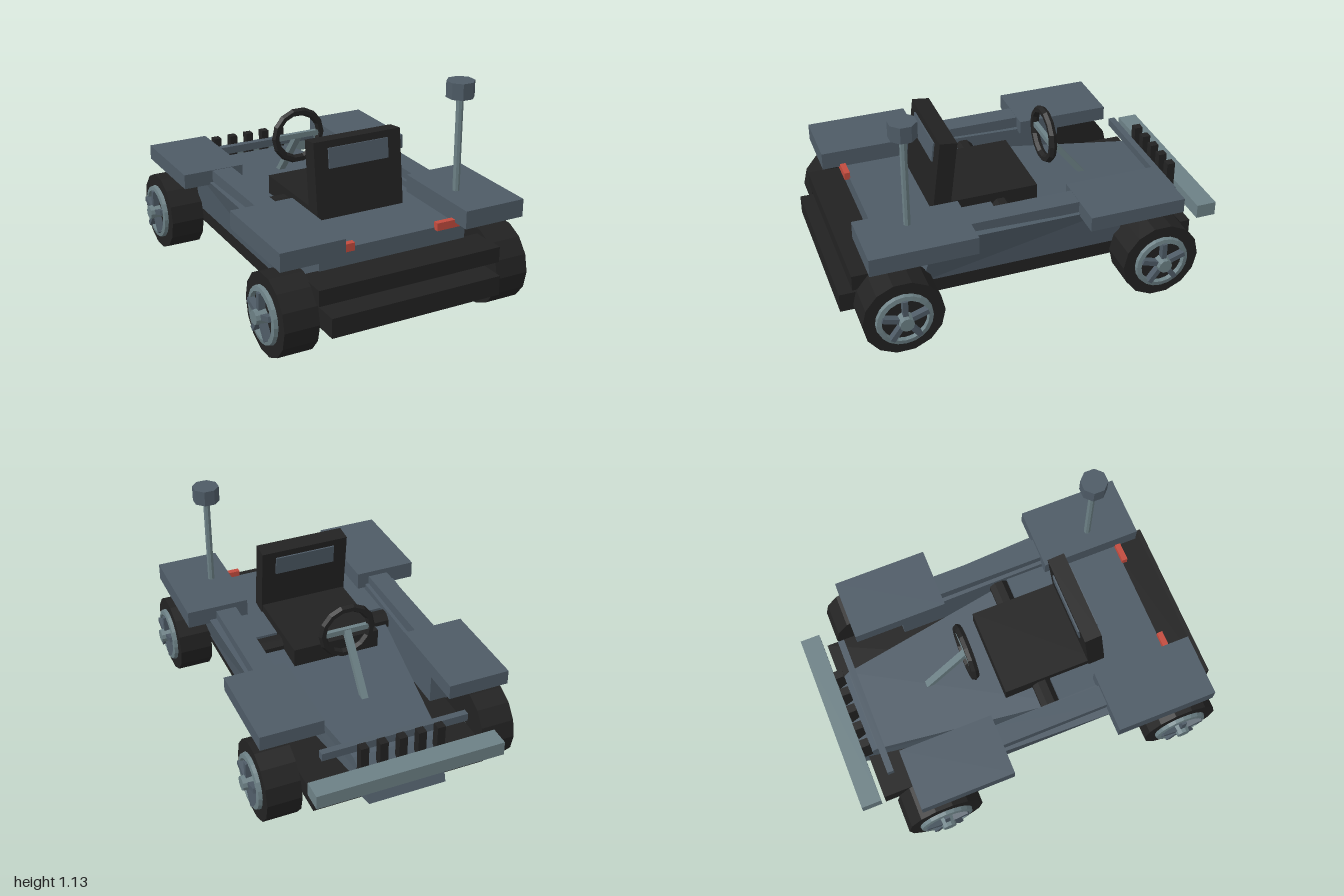
import * as THREE from 'three';

const mat = (name, color) => {
  const m = new THREE.MeshStandardMaterial({ color });
  m.name = name;
  return m;
};

export function createModel() {
  const model = new THREE.Group();
  model.name = 'buggy';
  const slate = mat('slate panels', 0x4e5b66);
  const steel = mat('pale steel', 0x6c8085);
  const black = mat('black rubber', 0x222222);
  const red = mat('red lamp', 0xc24b3e);

  const add = (name, geo, material, parent = model) => {
    const flat = geo.index ? geo.toNonIndexed() : geo;
    flat.computeVertexNormals();
    const mesh = new THREE.Mesh(flat, material);
    mesh.name = name;
    parent.add(mesh);
    return mesh;
  };
  // Box given by its limits on each axis
  const box = (name, material, [x0, x1], [y0, y1], [z0, z1], parent) => {
    const g = new THREE.BoxGeometry(x1 - x0, y1 - y0, z1 - z0);
    g.translate((x0 + x1) / 2, (y0 + y1) / 2, (z0 + z1) / 2);
    return add(name, g, material, parent);
  };
  // Side profile in (z, y), swept across x; xRule places each corner from t = -0.5..0.5
  const profile = (name, material, points, xRule) => {
    const shape = new THREE.Shape(points.map(([z, y]) => new THREE.Vector2(z, y)));
    const g = new THREE.ExtrudeGeometry(shape, { depth: 1, bevelEnabled: false });
    g.translate(0, 0, -0.5).rotateY(-Math.PI / 2);
    const p = g.attributes.position;
    for (let i = 0; i < p.count; i++) p.setX(i, xRule(p.getX(i), p.getY(i), p.getZ(i)));
    return add(name, g, material);
  };
  const mirrorBox = (name, material, [x0, x1], y, z) => {
    box(name + 'Left', material, [x0, x1], y, z);
    box(name + 'Right', material, [-x1, -x0], y, z);
  };

  // Chassis and bumpers
  box('chassis', black, [-0.455, 0.455], [0.16, 0.26], [-0.875, 1]);
  box('blackBumper', black, [-0.49, 0.49], [0.3, 0.38], [0.76, 0.94]);
  box('steelBumper', steel, [-0.49, 0.49], [0.29, 0.365], [-1, -0.895]);

  // Body: deck, tapered hood, flared sills and their rails
  box('deck', slate, [-0.4, 0.4], [0.255, 0.47], [0.15, 0.77]);
  profile('hood', slate,
    [[0.16, 0.25], [0.16, 0.435], [-0.82, 0.37], [-0.895, 0.3], [-0.955, 0.18], [-0.84, 0.18], [-0.8, 0.25]],
    (t, y, z) => 2 * t * (0.37 + 0.175 * Math.min(0, z)));
  for (const side of [1, -1]) {
    profile(side > 0 ? 'sillLeft' : 'sillRight', slate,
      [[0.59, 0.255], [0.54, 0.51], [-0.455, 0.48], [-0.455, 0.255]],
      (t, y, z) => {
        const outer = 0.48 + 0.06 * (y - 0.255) / 0.255 + 0.03 * (z - 0.35) * (y > 0.4 ? 1 : 0);
        return side * THREE.MathUtils.lerp(0.37, outer, side * t + 0.5);
      });
  }
  mirrorBox('rail', slate, [0.39, 0.5], [0.49, 0.55], [-0.23, 0.36]);
  mirrorBox('highFender', slate, [0.325, 0.655], [0.485, 0.577], [0.353, 0.887]);
  mirrorBox('lowFender', slate, [0.33, 0.655], [0.475, 0.552], [-0.72, -0.22]);
  mirrorBox('lamp', red, [0.225, 0.375], [0.46, 0.5], [0.765, 0.795]);
  box('lightBar', slate, [-0.385, 0.385], [0.395, 0.437], [-0.815, -0.78]);

  // Row of short posts on the nose
  for (let i = -2; i <= 2; i++)
    box('nosePost', black, [i * 0.1 - 0.021, i * 0.1 + 0.021], [0.29, 0.47], [-0.893, -0.848]);

  // Seat
  const crossbar = new THREE.CylinderGeometry(0.053, 0.053, 0.74, 8);
  crossbar.rotateY(Math.PI / 8).rotateZ(Math.PI / 2).translate(0, 0.43, 0.1);
  add('seatCrossbar', crossbar, black);
  box('seatCushion', black, [-0.235, 0.235], [0.41, 0.517], [-0.1, 0.4]);
  const back = new THREE.Group();
  back.name = 'seatBack';
  back.position.set(0, 0.67, 0.388);
  back.rotation.x = -0.12;
  model.add(back);
  box('backrest', black, [-0.24, 0.24], [-0.2, 0.188], [-0.045, 0.045], back);
  for (const s of [1, -1])
    box('headPanel', slate, [-0.165, 0.165], [0.05, 0.152], [s * 0.049 - 0.004, s * 0.049 + 0.004], back);

  // Steering wheel and column
  const steering = new THREE.Group();
  steering.name = 'steering';
  steering.position.set(0, 0.66, -0.225);
  model.add(steering);
  add('steeringRing', new THREE.TorusGeometry(0.132, 0.022, 6, 14), black, steering);
  box('steeringSpoke', steel, [-0.125, 0.125], [-0.014, 0.014], [-0.012, 0.012], steering);
  const low = new THREE.Vector3(0, -0.29, -0.235);
  const column = new THREE.BoxGeometry(0.036, low.length(), 0.03);
  const columnMesh = add('steeringColumn', column, steel, steering);
  columnMesh.position.copy(low).multiplyScalar(0.5);
  columnMesh.rotation.x = Math.atan2(0.235, 0.29);

  // Mast with an eight-sided head
  add('mast', new THREE.CylinderGeometry(0.018, 0.018, 0.62, 8).translate(0.43, 0.765, 0.64), steel);
  add('mastHead', new THREE.CylinderGeometry(0.07, 0.07, 0.082, 8)
    .rotateY(Math.PI / 8).translate(0.43, 1.1, 0.64), slate);

  // Wheels, built with the axle along y and turned outwards
  const makeWheel = (side, z) => {
    const wheel = new THREE.Group();
    wheel.name = 'wheel';
    wheel.position.set(side * 0.573, 0.207, z);
    wheel.rotation.z = -side * Math.PI / 2;
    model.add(wheel);
    add('tyre', new THREE.CylinderGeometry(0.205, 0.205, 0.178, 14), black, wheel);
    const rim = [[0.113, 0.08], [0.146, 0.08], [0.14, 0.108], [0.117, 0.112], [0.113, 0.08]];
    add('rim', new THREE.LatheGeometry(rim.map(([r, y]) => new THREE.Vector2(r, y)), 20), steel, wheel);
    for (let i = 0; i < 5; i++) {
      const a = i * Math.PI * 2 / 5;
      const spoke = new THREE.BoxGeometry(0.1, 0.035, 0.026);
      spoke.translate(-side * 0.07, 0.107, 0).rotateY(a);
      add('spoke', spoke, slate, wheel);
    }
    add('hub', new THREE.CylinderGeometry(0.036, 0.042, 0.06, 10).translate(0, 0.116, 0), steel, wheel);
  };
  for (const z of [0.735, -0.61]) {
    add('axle', new THREE.CylinderGeometry(0.026, 0.026, 1, 8)
      .rotateZ(Math.PI / 2).translate(0, 0.21, z), steel);
    for (const side of [1, -1]) makeWheel(side, z);
  }
  return model;
}
